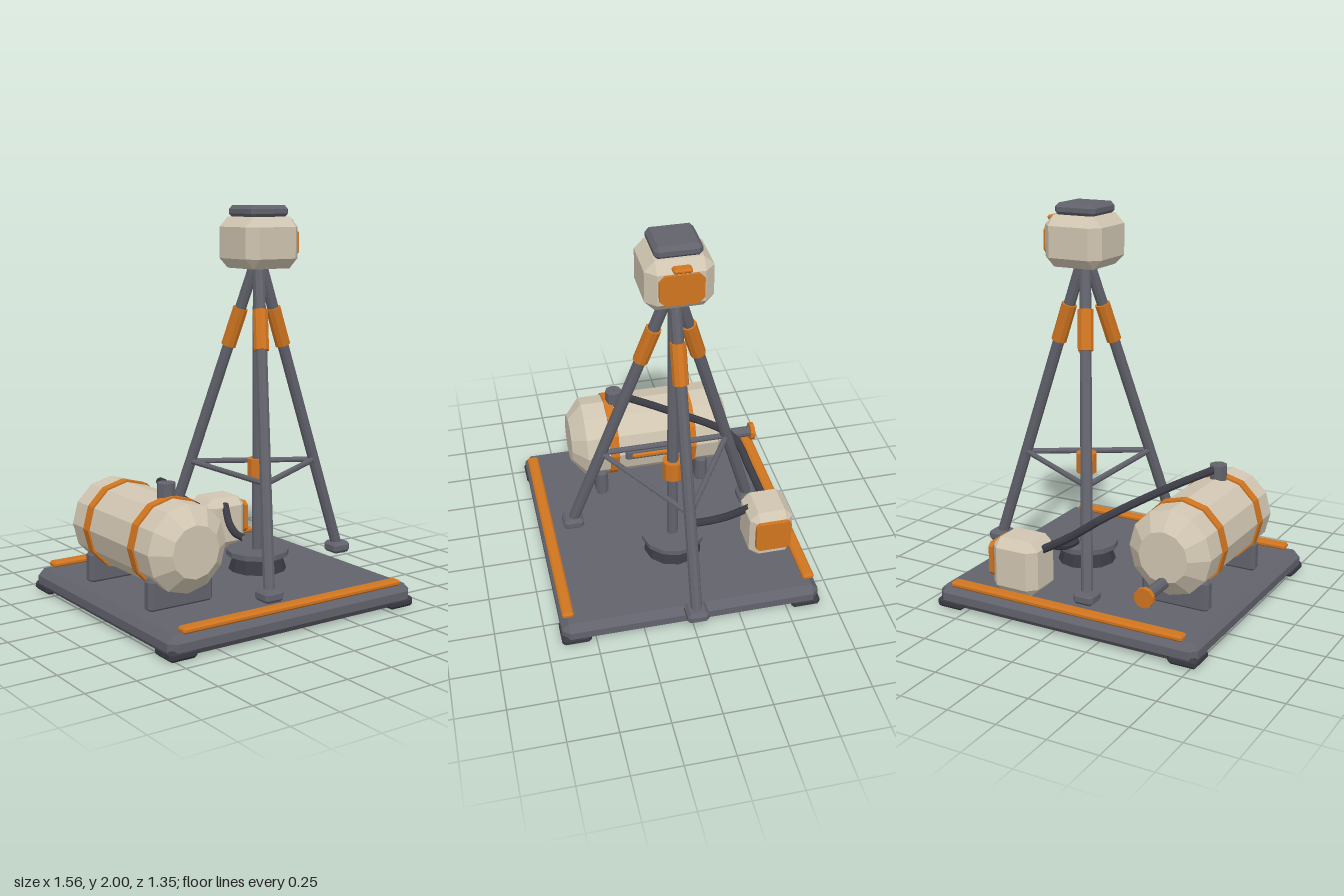
import * as THREE from 'three';
import { ConvexGeometry } from 'three/addons/geometries/ConvexGeometry.js';

const material = (name, color) => {
  const m = new THREE.MeshStandardMaterial({ color, flatShading: true });
  m.name = name;
  return m;
};
const V = (x, y, z) => new THREE.Vector3(x, y, z);

export function createModel() {
  const cream = material('cream paint', 0xd0c5b1);
  const orange = material('orange paint', 0xd07520);
  const steel = material('grey steel', 0x62626c);
  const rubber = material('dark rubber', 0x3a3a43);
  const model = new THREE.Group();
  model.name = 'pumpTower';

  const add = (name, geometry, mat, parent = model) => {
    const mesh = new THREE.Mesh(geometry, mat);
    mesh.name = name;
    parent.add(mesh);
    return mesh;
  };
  const group = (name) => {
    const g = new THREE.Group();
    g.name = name;
    model.add(g);
    return g;
  };

  // Box with every edge chamfered, given by its min and max corners
  const block = (name, [x0, x1], [y0, y1], [z0, z1], c, mat, parent) => {
    const hx = (x1 - x0) / 2, hy = (y1 - y0) / 2, hz = (z1 - z0) / 2;
    const pts = [];
    for (const i of [-1, 1]) for (const j of [-1, 1]) for (const k of [-1, 1]) {
      pts.push(V(i * hx, j * (hy - c), k * (hz - c)));
      pts.push(V(i * (hx - c), j * hy, k * (hz - c)));
      pts.push(V(i * (hx - c), j * (hy - c), k * hz));
    }
    const mesh = add(name, new ConvexGeometry(pts), mat, parent);
    mesh.position.set((x0 + x1) / 2, (y0 + y1) / 2, (z0 + z1) / 2);
    return mesh;
  };

  // Plate facing +x with clipped corners
  const plate = (name, x0, x1, [y0, y1], [z0, z1], c, mat, parent) => {
    const pts = [];
    const hy = (y1 - y0) / 2, hz = (z1 - z0) / 2;
    for (const x of [x0, x1]) for (const j of [-1, 1]) for (const k of [-1, 1]) {
      pts.push(V(x, j * hy, k * (hz - c)), V(x, j * (hy - c), k * hz));
    }
    add(name, new ConvexGeometry(pts), mat, parent)
      .position.set(0, (y0 + y1) / 2, (z0 + z1) / 2);
  };

  // Straight rod between two points
  const rod = (name, a, b, r, mat, parent, sides = 10, rTop = r) => {
    const d = b.clone().sub(a);
    const mesh = add(name, new THREE.CylinderGeometry(rTop, r, d.length(), sides), mat, parent);
    mesh.position.copy(a).addScaledVector(d, 0.5);
    mesh.quaternion.setFromUnitVectors(V(0, 1, 0), d.normalize());
    return mesh;
  };

  // Base plate, corner feet and side rails
  const base = group('base');
  block('basePlate', [-0.775, 0.665], [0.006, 0.117], [-0.67, 0.67], 0.035, steel, base);
  for (const s of [-1, 1]) {
    for (const [x0, x1] of [[-0.78, -0.63], [0.52, 0.67]]) {
      const z = s * 0.6;
      block('cornerFoot', [x0, x1], [0, 0.05], [z - 0.075, z + 0.075], 0.015, rubber, base);
    }
    block('rail', [-0.7, 0.59], [0.115, 0.145], [s * 0.63 - 0.03, s * 0.63 + 0.03], 0.009, orange, base);
  }

  // Tank lying along z, with bands and saddles
  const tank = group('tank');
  const tx = -0.49, ty = 0.41;
  const shell = [[0, -0.44], [0.13, -0.44], [0.218, -0.365], [0.218, 0.365], [0.13, 0.44], [0, 0.44]];
  add('tankShell', new THREE.LatheGeometry(shell.map((p) => new THREE.Vector2(...p)), 12).rotateX(Math.PI / 2), cream, tank)
    .position.set(tx, ty, 0);
  for (const s of [-1, 1]) {
    rod('tankBand', V(tx, ty, s * 0.215 - 0.024), V(tx, ty, s * 0.215 + 0.024), 0.228, orange, tank, 12);
    block('saddle', [-0.67, -0.31], [0.11, 0.275], [s * 0.285 - 0.034, s * 0.285 + 0.034], 0.018, steel, tank);
  }
  rod('tankOutlet', V(tx, 0.6, 0.18), V(tx, 0.695, 0.18), 0.046, steel, tank, 8);
  rod('drainPipe', V(tx, 0.28, -0.38), V(tx, 0.28, -0.62), 0.03, steel, tank);
  rod('drainCap', V(tx, 0.28, -0.61), V(tx, 0.28, -0.635), 0.05, orange, tank);
  block('gaugeFrame', [-0.3, -0.258], [0.375, 0.44], [-0.16, 0.16], 0.012, steel, tank);
  block('gaugeStrip', [-0.275, -0.249], [0.394, 0.421], [-0.125, 0.125], 0.007, orange, tank);

  // Pump box
  const pump = group('pump');
  block('pumpBody', [0.13, 0.39], [0.115, 0.402], [-0.607, -0.375], 0.045, cream, pump);
  plate('pumpPanel', 0.38, 0.404, [0.19, 0.365], [-0.585, -0.398], 0.02, orange, pump);

  // Hoses
  const hose = (name, pts) => add(name, new THREE.TubeGeometry(
    new THREE.CatmullRomCurve3(pts.map((p) => V(...p))), 16, 0.021, 8), rubber);
  hose('tankHose', [[tx, 0.675, 0.18], [-0.34, 0.625, -0.09], [-0.15, 0.535, -0.41], [0.0, 0.43, -0.465], [0.15, 0.345, -0.5]]);
  hose('mastHose', [[0.25, 0.365, -0.4], [0.205, 0.285, -0.29], [0.185, 0.255, -0.2], [0.18, 0.25, -0.11]]);

  // Central mast on its flanged base
  const mast = group('mast');
  const mx = 0.18;
  rod('mastCone', V(mx, 0.11, 0), V(mx, 0.2, 0), 0.155, rubber, mast, 12, 0.125);
  rod('mastFlange', V(mx, 0.195, 0), V(mx, 0.222, 0), 0.165, steel, mast, 12);
  rod('mastPole', V(mx, 0.2, 0), V(mx, 1.72, 0), 0.029, steel, mast);
  rod('mastSleeve', V(mx, 0.6, 0), V(mx, 0.705, 0), 0.054, orange, mast);

  // Tripod legs with feet, sleeves and cross braces
  const tripod = group('tripod');
  const braceEnds = [];
  for (const [fx, fz] of [[0.72, 0], [-0.105, -0.49], [-0.105, 0.49]]) {
    const foot = V(fx, 0.15, fz);
    const top = V(mx + (fx - mx) * 0.03, 1.71, fz * 0.03);
    const at = (y) => foot.clone().lerp(top, (y - foot.y) / (top.y - foot.y));
    rod('leg', foot, top, 0.03, steel, tripod);
    rod('legSleeve', at(1.285), at(1.48), 0.04, orange, tripod);
    block('legFoot', [fx - 0.055, fx + 0.055], [0.12, 0.18], [fz - 0.055, fz + 0.055], 0.016, steel, tripod);
    braceEnds.push(at(0.655));
  }
  braceEnds.forEach((p, i) => rod('brace', p, braceEnds[(i + 1) % 3], 0.015, steel, tripod, 8));

  // Head with side panel, tab and cap
  const head = group('head');
  block('headBody', [0.02, 0.342], [1.685, 1.942], [-0.163, 0.163], 0.05, cream, head);
  plate('headPanel', 0.332, 0.356, [1.737, 1.89], [-0.106, 0.106], 0.028, orange, head);
  block('headTab', [0.323, 0.373], [1.905, 1.928], [-0.045, 0.045], 0.008, orange, head);
  block('headCap', [0.065, 0.293], [1.937, 2.0], [-0.114, 0.114], 0.02, steel, head);

  return model;
}
